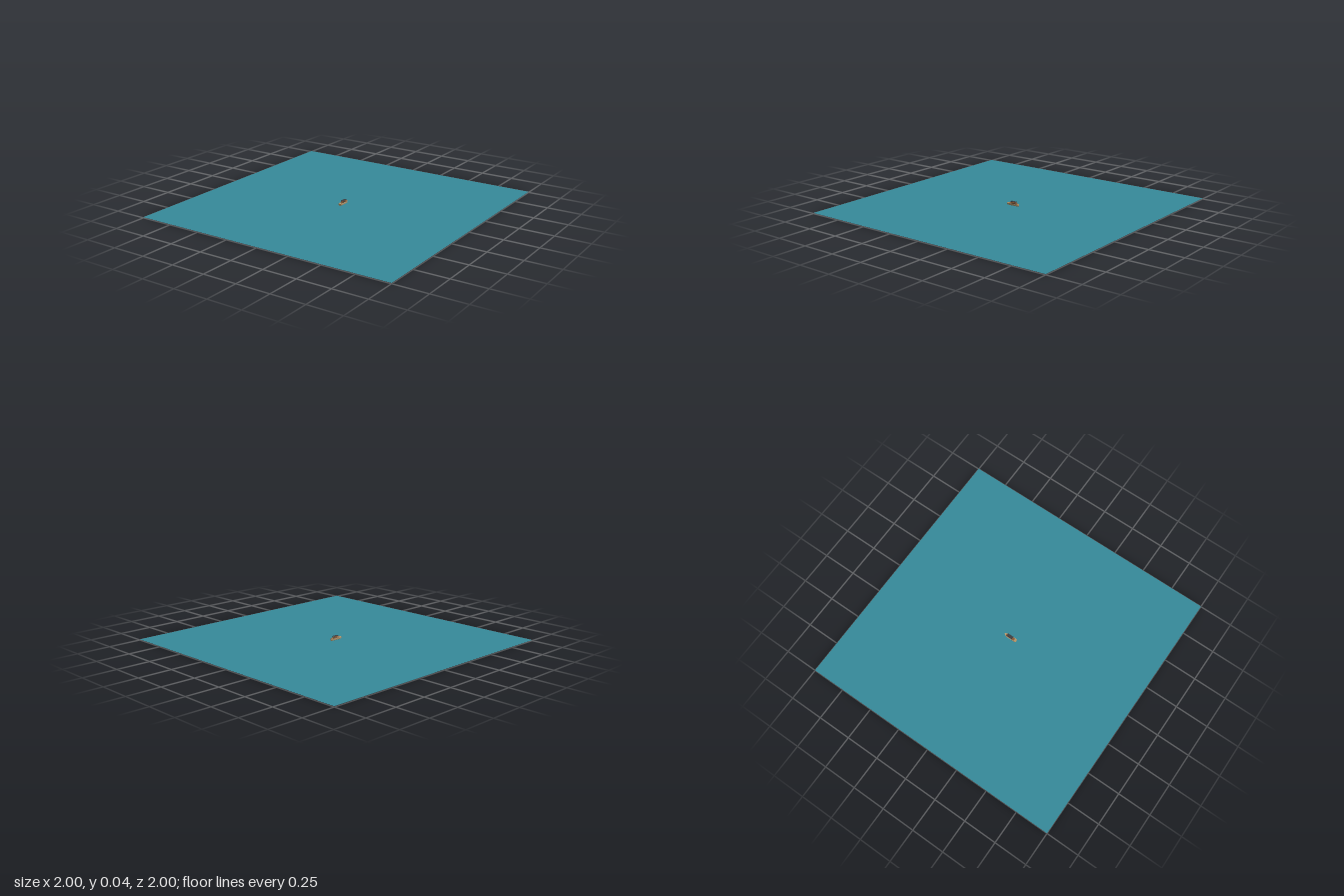
import * as THREE from 'three';

const mat = (color, extra = {}) => new THREE.MeshStandardMaterial({ color, ...extra });

function part(parent, name, geometry, material, x = 0, y = 0, z = 0) {
  const mesh = new THREE.Mesh(geometry, material);
  mesh.name = name;
  mesh.position.set(x, y, z);
  parent.add(mesh);
  return mesh;
}

// Closed hull lofted through sections [z, half width, keel height, rim height]
function hullGeometry(sections) {
  const pos = [], index = [], n = 5;
  for (const [z, w, keel, rim] of sections) {
    const chine = keel + (rim - keel) * 0.4;
    pos.push(0, keel, z, w * 0.8, chine, z, w, rim, z, -w, rim, z, -w * 0.8, chine, z);
  }
  for (let i = 0; i < sections.length - 1; i++) {
    for (let j = 0; j < n; j++) {
      const a = i * n + j, b = i * n + (j + 1) % n;
      index.push(a, b, a + n, b, b + n, a + n);
    }
  }
  const last = (sections.length - 1) * n;
  for (let j = 1; j < n - 1; j++) {
    index.push(0, j + 1, j, last, last + j, last + j + 1);
  }
  const g = new THREE.BufferGeometry();
  g.setAttribute('position', new THREE.Float32BufferAttribute(pos, 3));
  g.setIndex(index);
  const flat = g.toNonIndexed();
  flat.computeVertexNormals();
  return flat;
}

export function createModel() {
  const model = new THREE.Group();
  const tan = mat(0xb89a6c, { flatShading: true });
  const brown = mat(0x8a5a35);
  const dark = mat(0x3c3f42);
  const pale = mat(0xa9a48f);

  // Wide flat sheet of water
  const water = part(model, 'water', new THREE.PlaneGeometry(2, 2, 32, 32),
    mat(0x368a9a, { side: THREE.DoubleSide }), 0, 0.005, 0);
  water.rotation.x = -Math.PI / 2;

  const boat = new THREE.Group();
  boat.name = 'boat';
  model.add(boat);

  // Hull with the narrow end towards the back
  part(boat, 'hull', hullGeometry([
    [-0.05, 0.002, 0.006, 0.022],
    [-0.043, 0.007, 0.002, 0.021],
    [-0.03, 0.012, 0, 0.02],
    [0, 0.0135, 0, 0.02],
    [0.035, 0.013, 0, 0.02],
    [0.05, 0.011, 0.004, 0.021],
  ]), tan);

  // Rub rails and deck
  for (const side of [-1, 1]) {
    part(boat, 'rubRail', new THREE.BoxGeometry(0.0015, 0.003, 0.07), pale, side * 0.0132, 0.0195, 0.004);
  }
  part(boat, 'deck', new THREE.BoxGeometry(0.02, 0.001, 0.07), brown, 0, 0.0206, -0.001);

  // Cabin, roof and window posts
  part(boat, 'cabin', new THREE.BoxGeometry(0.017, 0.007, 0.04), brown, 0, 0.0245, -0.006);
  part(boat, 'roof', new THREE.BoxGeometry(0.021, 0.002, 0.046), dark, 0, 0.034, -0.003);
  for (const side of [-1, 1]) {
    for (const z of [-0.024, -0.01, 0.004, 0.018]) {
      part(boat, 'roofPost', new THREE.BoxGeometry(0.0012, 0.012, 0.0012), dark, side * 0.0088, 0.027, z);
    }
  }
  return model;
}
